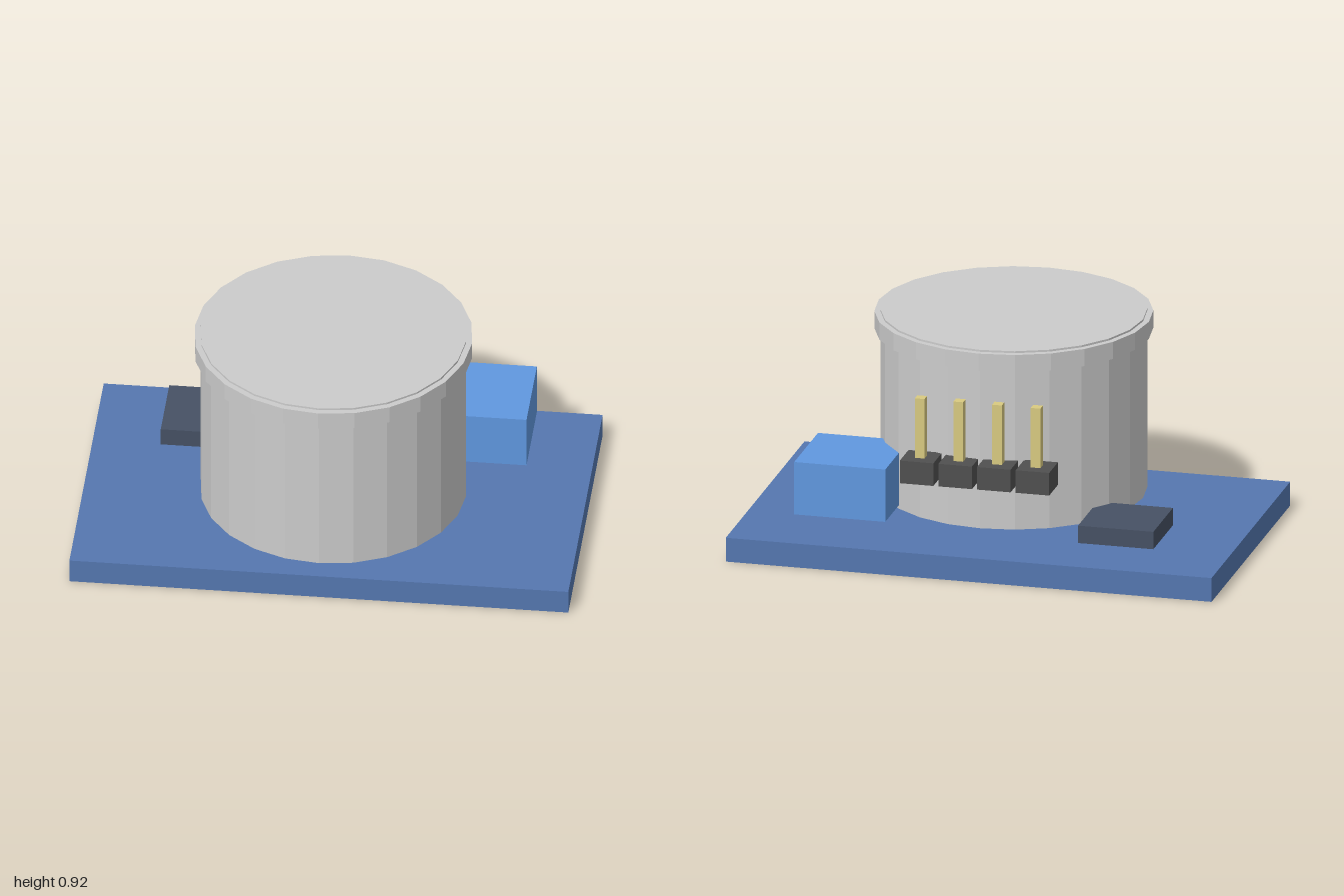
import * as THREE from 'three';

const material = (color) => new THREE.MeshStandardMaterial({ color, flatShading: true });

// Box given by its extents on each axis
function box(name, mat, [x0, x1], [y0, y1], [z0, z1]) {
  const mesh = new THREE.Mesh(new THREE.BoxGeometry(x1 - x0, y1 - y0, z1 - z0), mat);
  mesh.position.set((x0 + x1) / 2, (y0 + y1) / 2, (z0 + z1) / 2);
  mesh.name = name;
  return mesh;
}

// Upright 24-sided drum on the can's axis
function drum(name, mat, radius, y0, y1) {
  const mesh = new THREE.Mesh(new THREE.CylinderGeometry(radius, radius, y1 - y0, 24), mat);
  mesh.position.set(0, (y0 + y1) / 2, 0.08);
  mesh.name = name;
  return mesh;
}

export function createModel() {
  const model = new THREE.Group();
  model.name = 'sensorBoard';

  const grey = material(0xcccccc);
  const plastic = material(0x505050);
  const brass = material(0xd9ca80);

  // Circuit board
  model.add(box('circuitBoard', material(0x5577b0), [-1, 1], [0, 0.1], [-0.635, 0.61]));

  // Sensor can with a rim just below its top
  const can = new THREE.Group();
  can.name = 'sensorCan';
  can.add(drum('canBody', grey, 0.532, 0.165, 0.915));
  can.add(drum('canRim', grey, 0.556, 0.835, 0.907));
  model.add(can);

  // Trimmer block and flat chip behind the can
  model.add(box('trimmer', material(0x6098e0), [0.375, 0.75], [0.18, 0.4], [-0.513, -0.137]));
  model.add(box('chip', material(0x465164), [-0.72, -0.41], [0.147, 0.22], [-0.48, -0.17]));

  // Four-pin header along the back edge
  const header = new THREE.Group();
  header.name = 'pinHeader';
  for (let i = 0; i < 4; i++) {
    const x = -0.24 + i * 0.159;
    header.add(box(`headerBlock${i + 1}`, plastic, [x - 0.069, x + 0.069], [0.36, 0.455], [-0.548, -0.41]));
    header.add(box(`headerPin${i + 1}`, brass, [x - 0.02, x + 0.02], [0.42, 0.705], [-0.499, -0.459]));
  }
  model.add(header);

  return model;
}
